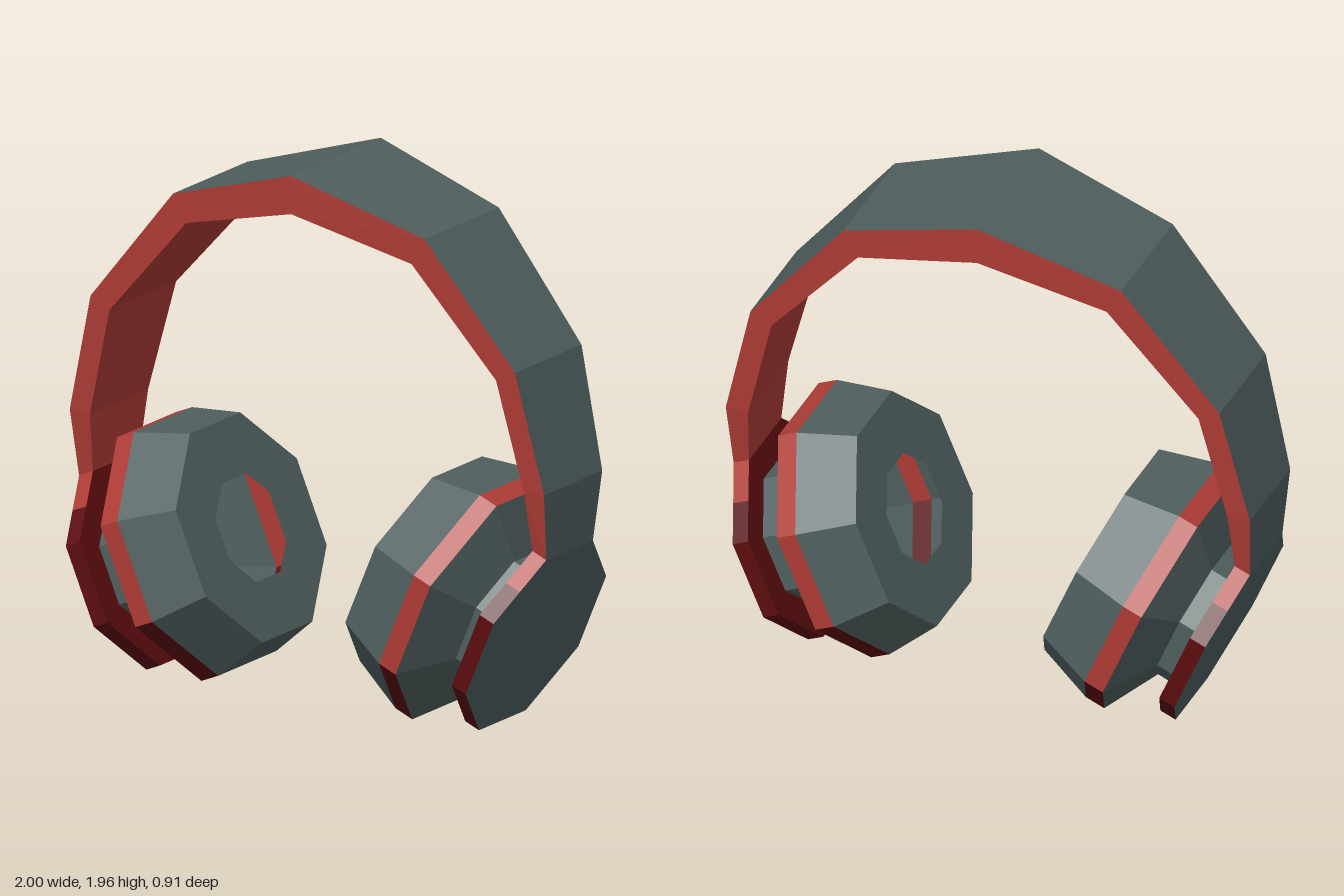
import * as THREE from 'three';

const material = (name, color) => {
  const m = new THREE.MeshStandardMaterial({ color, flatShading: true, side: THREE.DoubleSide });
  m.name = name;
  return m;
};

// Flat-shaded mesh from a list of four-cornered faces
function quadMesh(name, quads, mat, matrix) {
  const pos = [];
  for (const [a, b, c, d] of quads) for (const p of [a, b, c, a, c, d]) pos.push(...p);
  const geo = new THREE.BufferGeometry();
  geo.setAttribute('position', new THREE.Float32BufferAttribute(pos, 3));
  if (matrix) geo.applyMatrix4(matrix);
  geo.computeVertexNormals();
  const mesh = new THREE.Mesh(geo, mat);
  mesh.name = name;
  return mesh;
}

// Octagon outline point: even k is the middle of a side, odd k a corner; k = 0 is the top
function octagonPoint(k, [apothem, y]) {
  const a = (k * Math.PI) / 8;
  const r = k % 2 ? apothem / Math.cos(Math.PI / 8) : apothem;
  return [r * Math.cos(a), y, r * Math.sin(a)];
}

// Skin along a profile of [apothem, axial position], over half-side sectors from..to
function octagonSkin(profile, from = 0, to = 16) {
  const quads = [];
  for (let i = 0; i + 1 < profile.length; i++) {
    for (let k = from; k < to; k++) {
      quads.push([
        octagonPoint(k, profile[i]), octagonPoint(k, profile[i + 1]),
        octagonPoint(k + 1, profile[i + 1]), octagonPoint(k + 1, profile[i]),
      ]);
    }
  }
  return quads;
}

export function createModel() {
  const grey = material('slate grey', 0x4f5e5e);
  const red = material('red', 0xad3b35);
  const darkRed = material('dark red', 0x5a0c0e);
  const model = new THREE.Group();
  model.name = 'headphones';

  // Headband: outer x, outer y, inner x, inner y, half width
  const half = [
    [0, 1.97, 0, 1.83, 0.29],
    [0.53, 1.81, 0.475, 1.71, 0.24],
    [0.895, 1.37, 0.815, 1.33, 0.215],
    [1.0, 0.93, 0.915, 0.925, 0.188],
    [0.985, 0.68, 0.927, 0.705, 0.151],
  ];
  const left = half.slice(1).reverse().map(([ox, oy, ix, iy, w]) => [-ox, oy, -ix, iy, w]);
  const stations = [...left, ...half].map(([ox, oy, ix, iy, w]) => ({
    of: [ox, oy, w], ob: [ox, oy, -w], nf: [ix, iy, w], nb: [ix, iy, -w],
  }));
  const strip = (e, f) => stations.slice(1).map((s, i) => [stations[i][e], s[e], s[f], stations[i][f]]);
  const headband = new THREE.Group();
  headband.name = 'headband';
  headband.add(
    quadMesh('headbandOuter', strip('of', 'ob'), grey),
    quadMesh('headbandInner', strip('nb', 'nf'), red),
    quadMesh('headbandFrontEdge', strip('nf', 'of'), red),
    quadMesh('headbandBackEdge', strip('ob', 'nb'), red),
  );
  model.add(headband);

  // Ear cups: hollow octagonal shells on a tilted axis
  const tilt = 0.4;
  const c = Math.cos(tilt), n = Math.sin(tilt);
  for (const s of [1, -1]) {
    const m = new THREE.Matrix4()
      .makeBasis(
        new THREE.Vector3(s * n, c, 0),
        new THREE.Vector3(s * c, -n, 0),
        new THREE.Vector3(0, 0, -s),
      )
      .setPosition(s * 0.843, 0.345, 0);
    const cup = new THREE.Group();
    cup.name = s > 0 ? 'leftEarCup' : 'rightEarCup';
    const add = (name, mat, profile, from, to) =>
      cup.add(quadMesh(name, octagonSkin(profile, from, to), mat, m));

    // Cushion with an open middle
    add('cushion', grey, [[0.185, -0.527], [0.391, -0.527], [0.456, -0.316]]);
    // Coloured ring, darker underneath
    const ring = [[0.456, -0.316], [0.456, -0.24]];
    add('ringUpper', red, ring, 11, 21);
    add('ringLower', darkRed, ring, 5, 11);
    // Tapered back and neck
    add('cupBack', grey, [[0.456, -0.24], [0.263, -0.134], [0.263, -0.063]]);
    // Outer plate
    add('plateInner', darkRed, [[0.263, -0.063], [0.364, -0.063]]);
    const rim = [[0.364, -0.063], [0.364, 0]];
    add('plateRimUpper', red, rim, 14, 18);
    add('plateRimLower', darkRed, rim, 2, 14);
    add('plateFace', grey, [[0.364, 0], [0, 0]]);
    model.add(cup);
  }
  return model;
}
